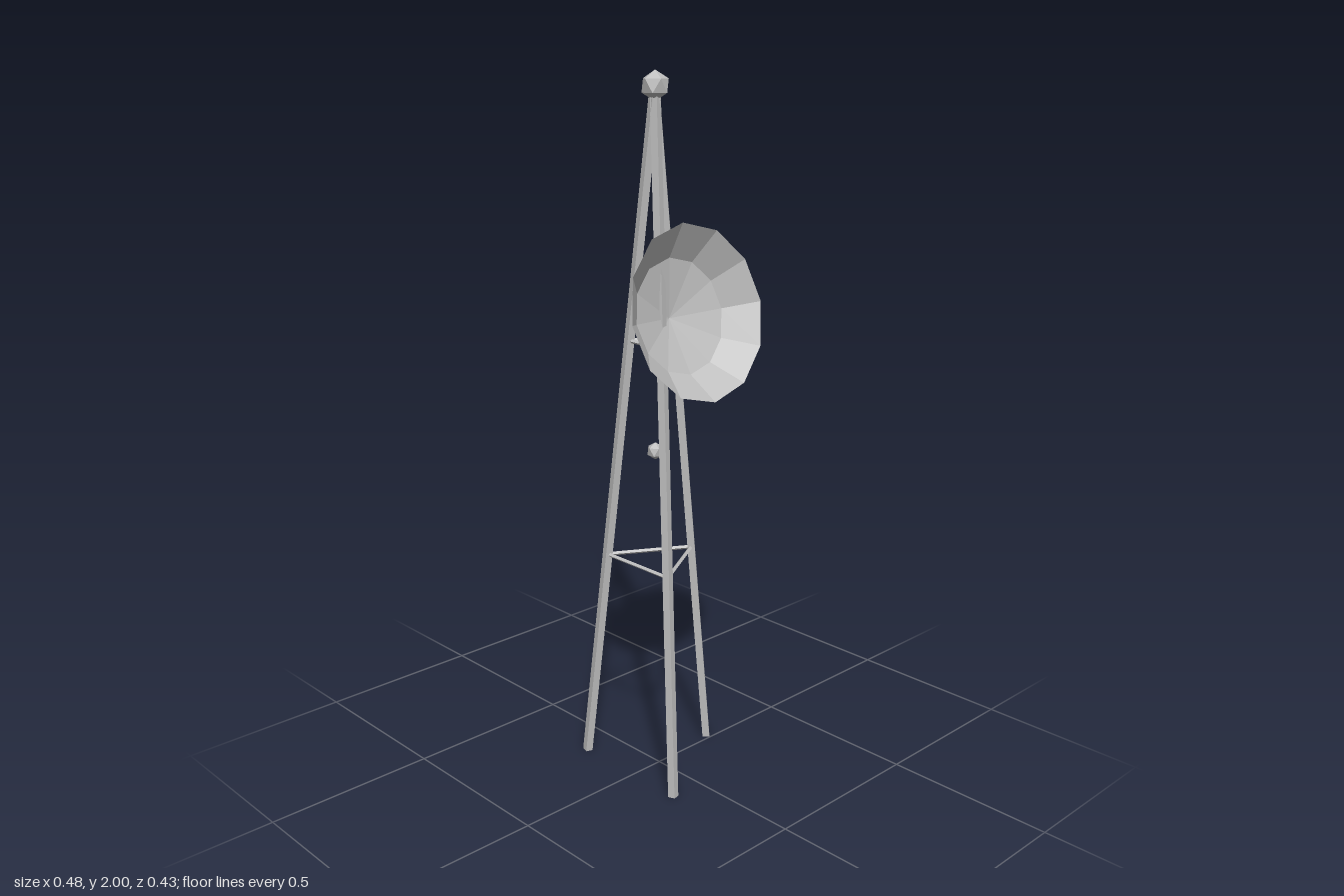
import * as THREE from 'three';

const AXIS_Z = -0.016;      // mast axis
const FOOT_RADIUS = 0.215;  // distance of each foot from the axis
const APEX_Y = 1.96;

export function createModel() {
  const model = new THREE.Group();
  const metal = new THREE.MeshStandardMaterial({ color: 0xbfbfbf, flatShading: true });
  metal.name = 'greyMetal';
  const dishMetal = new THREE.MeshStandardMaterial({ color: 0xbfbfbf, flatShading: true, side: THREE.DoubleSide });
  dishMetal.name = 'greyDishMetal';

  const add = (parent, name, geometry, material = metal) => {
    const mesh = new THREE.Mesh(geometry, material);
    mesh.name = name;
    parent.add(mesh);
    return mesh;
  };

  // four-sided bar between two points
  const bar = (parent, name, from, to, radius) => {
    const span = to.clone().sub(from);
    const mesh = add(parent, name, new THREE.CylinderGeometry(radius, radius, span.length(), 4));
    mesh.position.copy(from).add(to).multiplyScalar(0.5);
    mesh.quaternion.setFromUnitVectors(new THREE.Vector3(0, 1, 0), span.normalize());
    return mesh;
  };

  // faceted ball with one corner straight up
  const ball = (parent, name, radius, y) => {
    const geometry = new THREE.IcosahedronGeometry(radius, 0);
    geometry.rotateZ(-Math.atan(2 / (1 + Math.sqrt(5))));
    geometry.rotateY(Math.PI);
    add(parent, name, geometry).position.y = y;
  };

  // tripod mast: each third holds one leg and the braces opposite it
  const mast = new THREE.Group();
  mast.name = 'mast';
  mast.position.z = AXIS_Z;
  model.add(mast);
  for (let i = 0; i < 3; i++) {
    const third = new THREE.Group();
    third.name = 'mastThird';
    third.rotation.y = (i * Math.PI * 2) / 3;
    mast.add(third);
    bar(third, 'leg', new THREE.Vector3(FOOT_RADIUS, 0.002, 0), new THREE.Vector3(0, APEX_Y, 0), 0.015);
    for (const y of [0.645, 1.28]) {
      const r = FOOT_RADIUS * (1 - y / APEX_Y);
      const half = r * Math.sin(Math.PI / 3);
      bar(third, 'brace', new THREE.Vector3(-r / 2, y, -half), new THREE.Vector3(-r / 2, y, half), 0.006);
    }
  }

  // beacon on top and the small ball inside the mast
  ball(mast, 'topBeacon', 0.04, APEX_Y);
  ball(mast, 'innerBall', 0.025, 0.97);

  // shallow dish, opening forward and slightly upward
  const profile = [[0, -0.118], [0.158, -0.074], [0.239, 0]].map(([r, d]) => new THREE.Vector2(r, d));
  const dish = add(model, 'dish', new THREE.LatheGeometry(profile, 12), dishMetal);
  dish.position.set(0, 1.386, 0.152);
  dish.rotation.x = Math.PI / 2 - THREE.MathUtils.degToRad(15.2);

  return model;
}
